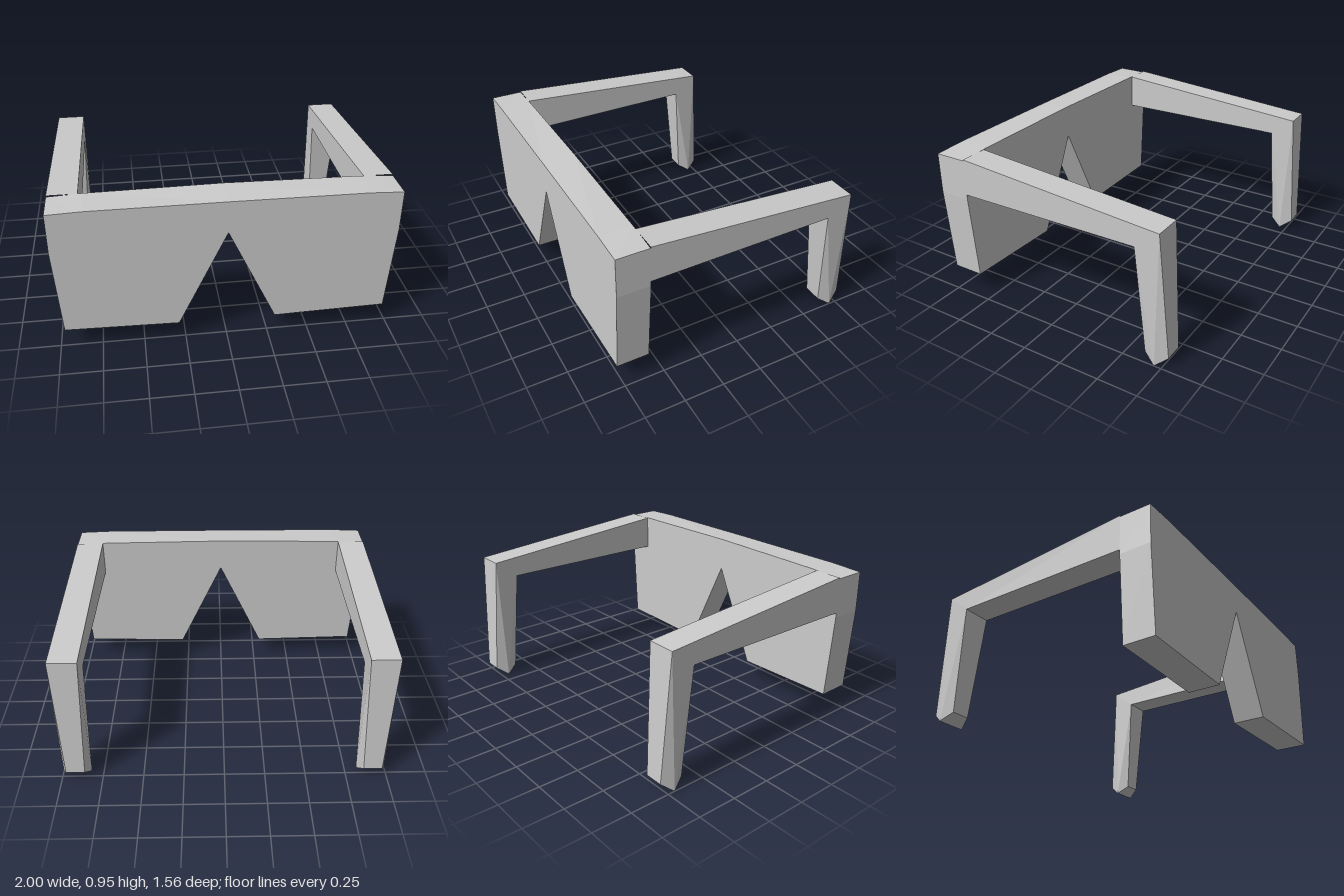
import * as THREE from 'three';

const material = new THREE.MeshStandardMaterial({ color: 0xcccccc, flatShading: true });

// Front plate with the pointed nose notch
function createFrontPlate() {
  const half = [[0.29, 0.125], [0.965, 0.14], [1, 0.68], [1, 0.93], [0.8, 0.94]];
  const outline = [
    [0, 0.74], ...half, [0, 0.95],
    ...half.map(([x, y]) => [-x, y]).reverse(),
  ].map(([x, y]) => new THREE.Vector2(x, y));
  const geometry = new THREE.ExtrudeGeometry(new THREE.Shape(outline), { depth: 0.2, bevelEnabled: false });
  geometry.translate(0, 0, 0.58);

  // The top slopes down slightly towards the front
  const p = geometry.attributes.position;
  for (let i = 0; i < p.count; i++) {
    if (p.getY(i) > 0.9 && p.getZ(i) > 0.7) p.setY(i, p.getY(i) - 0.01 * (1 - Math.abs(p.getX(i))));
  }
  geometry.computeVertexNormals();
  const mesh = new THREE.Mesh(geometry, material);
  mesh.name = 'frontPlate';
  return mesh;
}

// Temple arm with its bent ear hook, whose lower end narrows to faceted edges
function createArmGeometry() {
  const w = 0.0875, narrow = 0.057;
  // z, y, half width
  const profile = [
    [0.58, 0.71, w], [-0.58, 0.72, w], [-0.63, 0.05, narrow], [-0.705, 0, w],
    [-0.78, 0.06, narrow], [-0.73, 0.84, w], [0.58, 0.937, w],
  ];
  const n = profile.length;
  const points = [1, -1].flatMap(side => profile.map(([z, y, h]) => [side * h, y, z]));
  const index = [];
  // Side faces, with facets either side of the hook tip
  for (const [a, b, c] of [[0, 1, 6], [1, 5, 6], [1, 3, 5], [1, 2, 3], [3, 4, 5]]) {
    index.push(a, b, c, c + n, b + n, a + n);
  }
  // Faces around the edge; the end against the plate stays open
  for (let i = 0; i < n - 1; i++) {
    const j = i + 1;
    index.push(i, i + n, j + n, i, j + n, j);
  }
  const indexed = new THREE.BufferGeometry();
  indexed.setAttribute('position', new THREE.Float32BufferAttribute(points.flat(), 3));
  indexed.setIndex(index);
  const geometry = indexed.toNonIndexed();
  geometry.computeVertexNormals();
  return geometry;
}

export function createModel() {
  const model = new THREE.Group();
  model.name = 'glasses';
  model.add(createFrontPlate());
  const armGeometry = createArmGeometry();
  for (const [name, side] of [['leftArm', 1], ['rightArm', -1]]) {
    const arm = new THREE.Mesh(armGeometry, material);
    arm.name = name;
    arm.position.x = side * 0.9125;
    model.add(arm);
  }
  return model;
}
